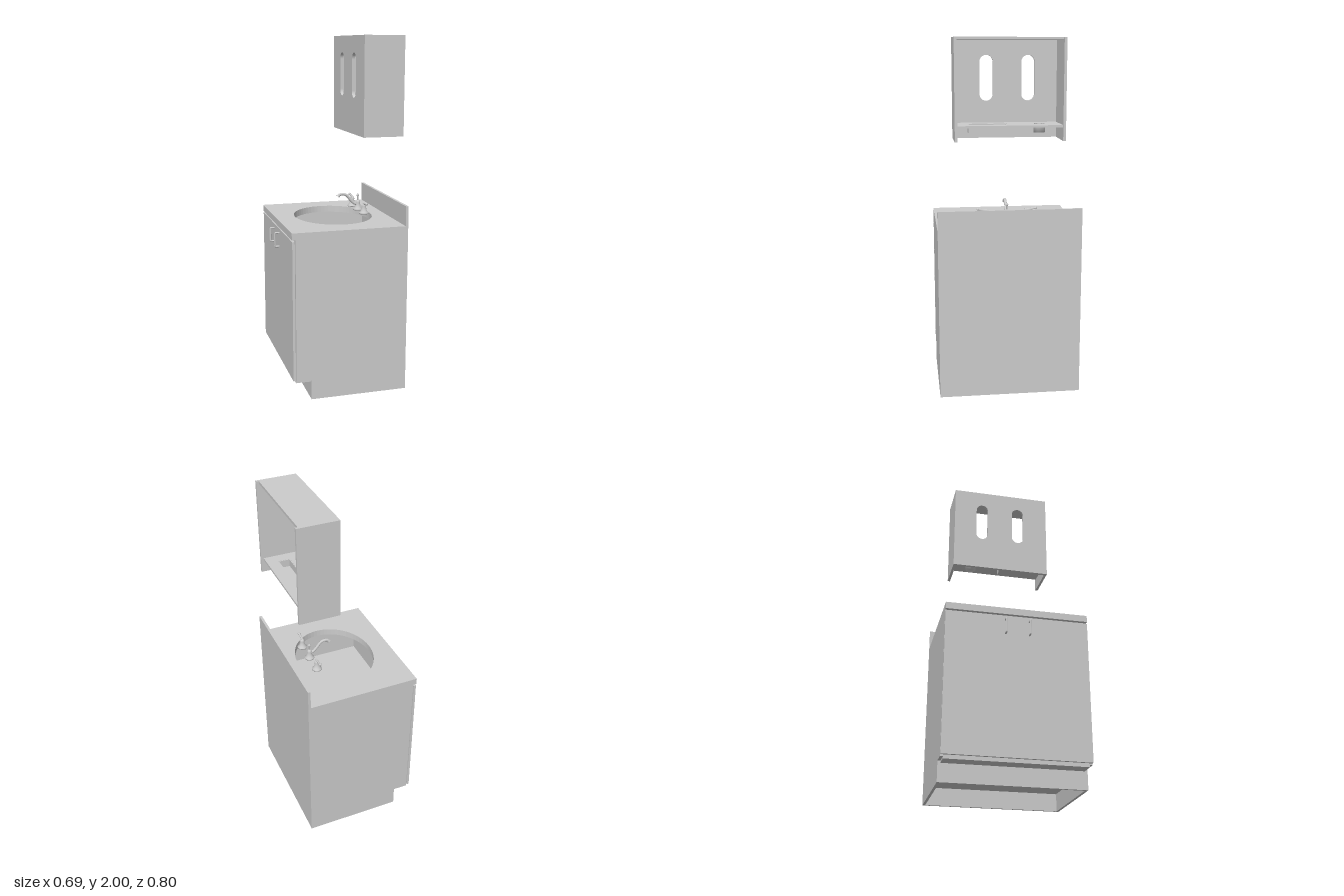
import * as THREE from 'three';

const grey = new THREE.MeshStandardMaterial({ color: 0xcccccc, side: THREE.DoubleSide });

export function createModel() {
  const model = new THREE.Group();
  model.name = 'vanityWithWallCabinet';

  const add = (name, geometry, parent = model) => {
    const mesh = new THREE.Mesh(geometry, grey);
    mesh.name = name;
    parent.add(mesh);
    return mesh;
  };
  // Box given by its limits on each axis
  const box = (name, x0, x1, y0, y1, z0, z1, parent) => {
    const g = new THREE.BoxGeometry(x1 - x0, y1 - y0, z1 - z0);
    g.translate((x0 + x1) / 2, (y0 + y1) / 2, (z0 + z1) / 2);
    return add(name, g, parent);
  };
  const outline = (points) => new THREE.Shape(points.map(([a, b]) => new THREE.Vector2(a, b)));
  const rect = (a0, a1, b0, b1) => outline([[a0, b0], [a1, b0], [a1, b1], [a0, b1]]);
  const oval = (a, b, ra, rb) => new THREE.Path().absellipse(a, b, ra, rb, 0, Math.PI * 2, true);
  const extrude = (shape, holes, depth) => {
    shape.holes.push(...holes);
    return new THREE.ExtrudeGeometry(shape, { depth, bevelEnabled: false, curveSegments: 32 });
  };
  // Horizontal board: shape drawn in (x, z), thickness going down from top
  const board = (name, shape, holes, top, depth, parent) =>
    add(name, extrude(shape, holes, depth).rotateX(Math.PI / 2).translate(0, top, 0), parent);
  const tube = (name, points, radius, parent, smooth = true) => {
    const v = points.map((p) => new THREE.Vector3(...p));
    const curve = new THREE.CatmullRomCurve3(v, false, 'catmullrom', smooth ? 0.5 : 0.02);
    return add(name, new THREE.TubeGeometry(curve, 40, radius, 10), parent);
  };

  // --- Base cabinet ---
  const base = new THREE.Group();
  base.name = 'baseCabinet';
  model.add(base);
  const profile = [[-0.215, 0], [0.343, 0], [0.343, 0.925], [-0.3, 0.925], [-0.3, 0.112], [-0.215, 0.112]];
  for (const z of [-0.4, 0.385]) {
    add('sidePanel', extrude(outline(profile), [], 0.015).translate(0, 0, z), base);
  }
  box('backPanel', 0.328, 0.343, 0, 1.075, -0.4, 0.4, base);
  box('toeKick', -0.215, -0.2, 0, 0.112, -0.385, 0.385, base);
  box('bottomPanel', -0.3, 0.328, 0.1, 0.115, -0.385, 0.385, base);
  box('frontFrame', -0.3, -0.285, 0.112, 0.925, -0.385, 0.385, base);

  // Doors with bow handles
  for (const s of [-1, 1]) {
    box('door', -0.318, -0.304, 0.12, 0.915, Math.min(0, s * 0.4), Math.max(0, s * 0.4), base);
    const z = s * 0.067;
    tube('doorHandle', [[-0.315, 0.89, z], [-0.343, 0.89, z], [-0.343, 0.81, z], [-0.315, 0.81, z]],
      0.005, base, false);
  }
  box('doorSpacer', -0.304, -0.3, 0.13, 0.9, -0.38, 0.38, base);

  // --- Countertop, basin floor and drain ---
  board('countertop', rect(-0.32, 0.328, -0.4, 0.4), [oval(0.02, 0, 0.227, 0.268)], 0.963, 0.038);
  board('basinFloor', rect(-0.285, 0.328, -0.385, 0.385), [oval(0.045, 0, 0.024, 0.024)], 0.68, 0.015);
  const drain = [[0.024, -0.03], [0.024, 0.003], [0.034, 0.003], [0.034, 0]];
  const lathe = (points, n = 24) =>
    new THREE.LatheGeometry(points.map(([r, y]) => new THREE.Vector2(r, y)), n);
  add('drainRing', lathe(drain).translate(0.045, 0.68, 0));
  add('drainPlug', new THREE.CylinderGeometry(0.024, 0.024, 0.005, 24).translate(0.045, 0.66, 0));

  // --- Faucet set ---
  const faucet = new THREE.Group();
  faucet.name = 'faucet';
  model.add(faucet);
  const bell = [[0, 0], [0.028, 0], [0.028, 0.006], [0.02, 0.013], [0.015, 0.028], [0.012, 0.042],
    [0.014, 0.046], [0.011, 0.055], [0.005, 0.06], [0, 0.061]];
  const finial = [[0, 0.055], [0.004, 0.06], [0.004, 0.08], [0.008, 0.085], [0.008, 0.09], [0.004, 0.097], [0, 0.1]];
  const faucetX = 0.176, faucetY = 0.985;
  for (const z of [-0.115, 0, 0.115]) {
    add('faucetBase', lathe(bell).translate(faucetX, faucetY, z), faucet);
    if (z === 0) add('faucetFinial', lathe(finial, 12).translate(faucetX, faucetY, z), faucet);
    else {
      const s = Math.sign(z);
      tube('tapLever', [[faucetX, 1.043, z - s * 0.012], [faucetX, 1.046, z + s * 0.02], [faucetX, 1.05, z + s * 0.05]],
        0.006, faucet);
      add('leverTip', new THREE.SphereGeometry(0.008, 12, 8).translate(faucetX, 1.05, z + s * 0.05), faucet);
    }
  }
  tube('spout', [[0.172, 1.02, 0], [0.15, 1.028, 0], [0.128, 1.05, 0], [0.105, 1.076, 0], [0.08, 1.084, 0],
    [0.06, 1.08, 0]], 0.008, faucet);
  add('spoutTip', new THREE.CylinderGeometry(0.008, 0.011, 0.018, 14).rotateZ(-0.7).translate(0.058, 1.077, 0), faucet);

  // --- Wall cabinet ---
  const cabinet = new THREE.Group();
  cabinet.name = 'wallCabinet';
  model.add(cabinet);
  box('cabinetSide', 0.112, 0.343, 1.45, 2, 0.285, 0.3, cabinet);
  box('cabinetSide', 0.112, 0.343, 1.45, 2, -0.3, -0.285, cabinet);
  box('cabinetTop', 0.13, 0.328, 1.985, 2, -0.285, 0.285, cabinet);

  // Front panel with two rounded slots, drawn in (z, y)
  const slot = (z) => {
    const r = 0.037, path = new THREE.Path();
    path.absarc(z, 1.868, r, 0, Math.PI, false);
    path.absarc(z, 1.692, r, Math.PI, Math.PI * 2, false);
    path.closePath();
    return path;
  };
  const panel = extrude(rect(-0.285, 0.285, 1.535, 2), [slot(0.11), slot(-0.123)], 0.018);
  add('slottedPanel', panel.rotateY(-Math.PI / 2).translate(0.13, 0, 0), cabinet);
  box('lowerRail', 0.112, 0.13, 1.45, 1.535, -0.285, 0.285, cabinet);

  // Shelf with a tray and a cup sunk into it
  const tray = { x0: 0.195, x1: 0.265, z0: 0.008, z1: 0.22 };
  const cup = { x: 0.228, z: -0.172, r: 0.032 };
  const trayHole = () => rect(tray.x0, tray.x1, tray.z0, tray.z1);
  const cupHole = (r) => oval(cup.x, cup.z, r, r);
  board('shelf', rect(0.13, 0.328, -0.285, 0.285), [trayHole(), cupHole(cup.r)], 1.535, 0.012, cabinet);
  const t = 0.004;
  board('trayWalls', trayHole(), [rect(tray.x0 + t, tray.x1 - t, tray.z0 + t, tray.z1 - t)], 1.534, 0.044, cabinet);
  box('trayFloor', tray.x0, tray.x1, 1.488, 1.492, tray.z0, tray.z1, cabinet);
  const cupProfile = [[0, 0], [cup.r, 0], [cup.r, 0.046], [cup.r - t, 0.046], [cup.r - t, t], [0, t]];
  add('cup', lathe(cupProfile, 32).translate(cup.x, 1.488, cup.z), cabinet);

  return model;
}
